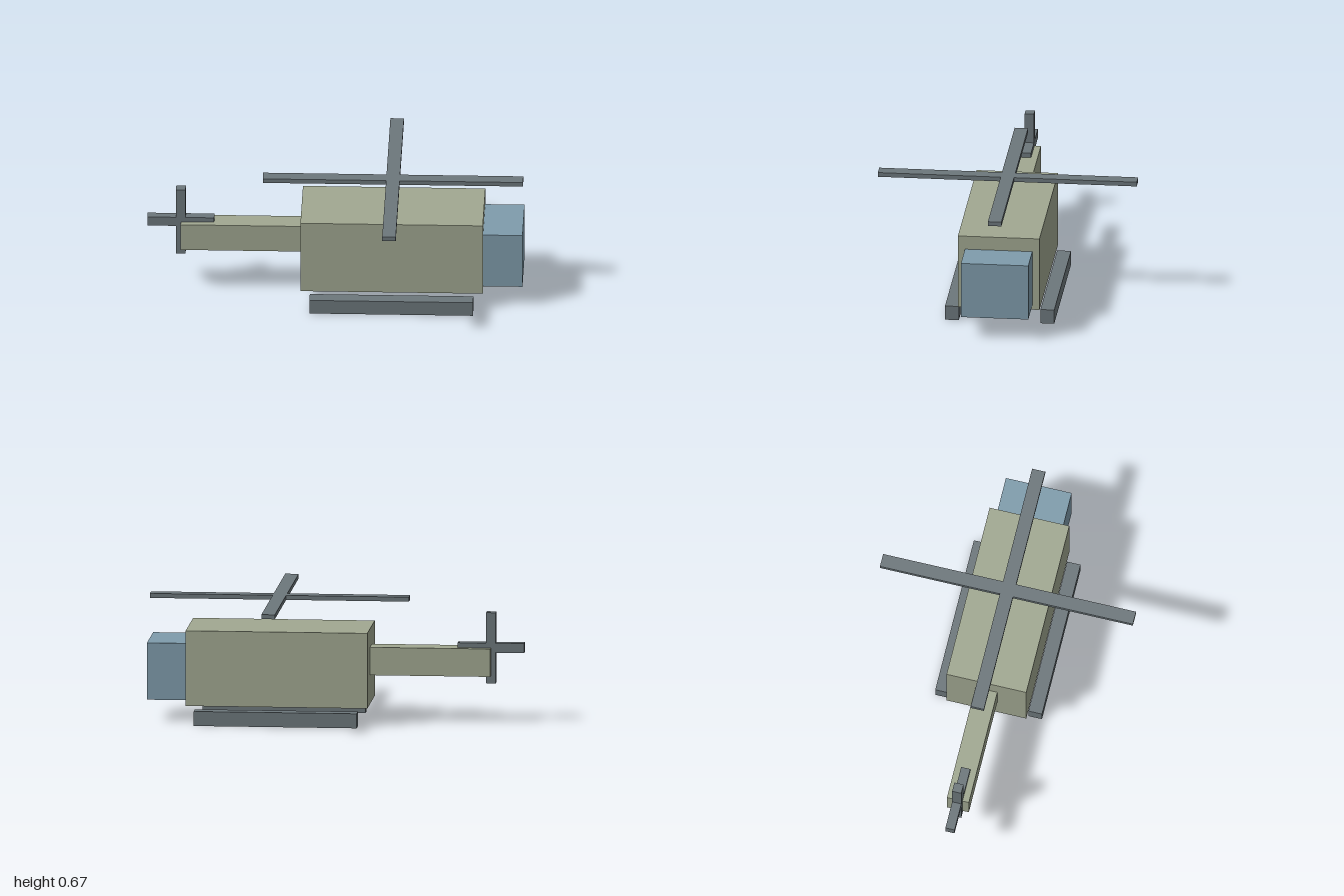
import * as THREE from 'three';

export function createModel() {
  const material = (name, color) => {
    const m = new THREE.MeshStandardMaterial({ color });
    m.name = name;
    return m;
  };
  const hullGreen = material('hull green', 0xa1a891);
  const glassBlue = material('glass blue', 0x7f9cac);
  const metalGrey = material('metal grey', 0x6d777c);

  // Box given by its extents along each axis
  const box = (name, mat, [x0, x1], [y0, y1], [z0, z1]) => {
    const mesh = new THREE.Mesh(new THREE.BoxGeometry(x1 - x0, y1 - y0, z1 - z0), mat);
    mesh.position.set((x0 + x1) / 2, (y0 + y1) / 2, (z0 + z1) / 2);
    mesh.name = name;
    return mesh;
  };

  const model = new THREE.Group();
  model.name = 'helicopter';

  // Fuselage, cockpit and tail boom
  model.add(
    box('fuselage', hullGreen, [-0.18, 0.79], [0.095, 0.5], [-0.218, 0.218]),
    box('cockpit', glassBlue, [0.79, 1], [0.12, 0.426], [-0.18, 0.18]),
    box('tailBoom', hullGreen, [-0.822, -0.18], [0.25, 0.4], [-0.06, 0.06])
  );

  // Landing skids
  for (const [name, z] of [['leftSkid', 0.255], ['rightSkid', -0.255]]) {
    model.add(box(name, metalGrey, [-0.13, 0.74], [0, 0.078], [z - 0.037, z + 0.037]));
  }

  // Main rotor: two crossed blades floating above the fuselage
  const mainRotor = new THREE.Group();
  mainRotor.name = 'mainRotor';
  mainRotor.add(
    box('longBlade', metalGrey, [-0.386, 0.998], [0.645, 0.669], [-0.036, 0.036]),
    box('crossBlade', metalGrey, [0.27, 0.342], [0.645, 0.669], [-0.692, 0.692])
  );
  model.add(mainRotor);

  // Tail rotor: upright and level blades at the boom's end
  const tailRotor = new THREE.Group();
  tailRotor.name = 'tailRotor';
  tailRotor.add(
    box('levelBlade', metalGrey, [-1, -0.645], [0.375, 0.426], [-0.025, 0.025]),
    box('uprightBlade', metalGrey, [-0.848, -0.797], [0.21, 0.59], [-0.025, 0.025])
  );
  model.add(tailRotor);

  return model;
}
